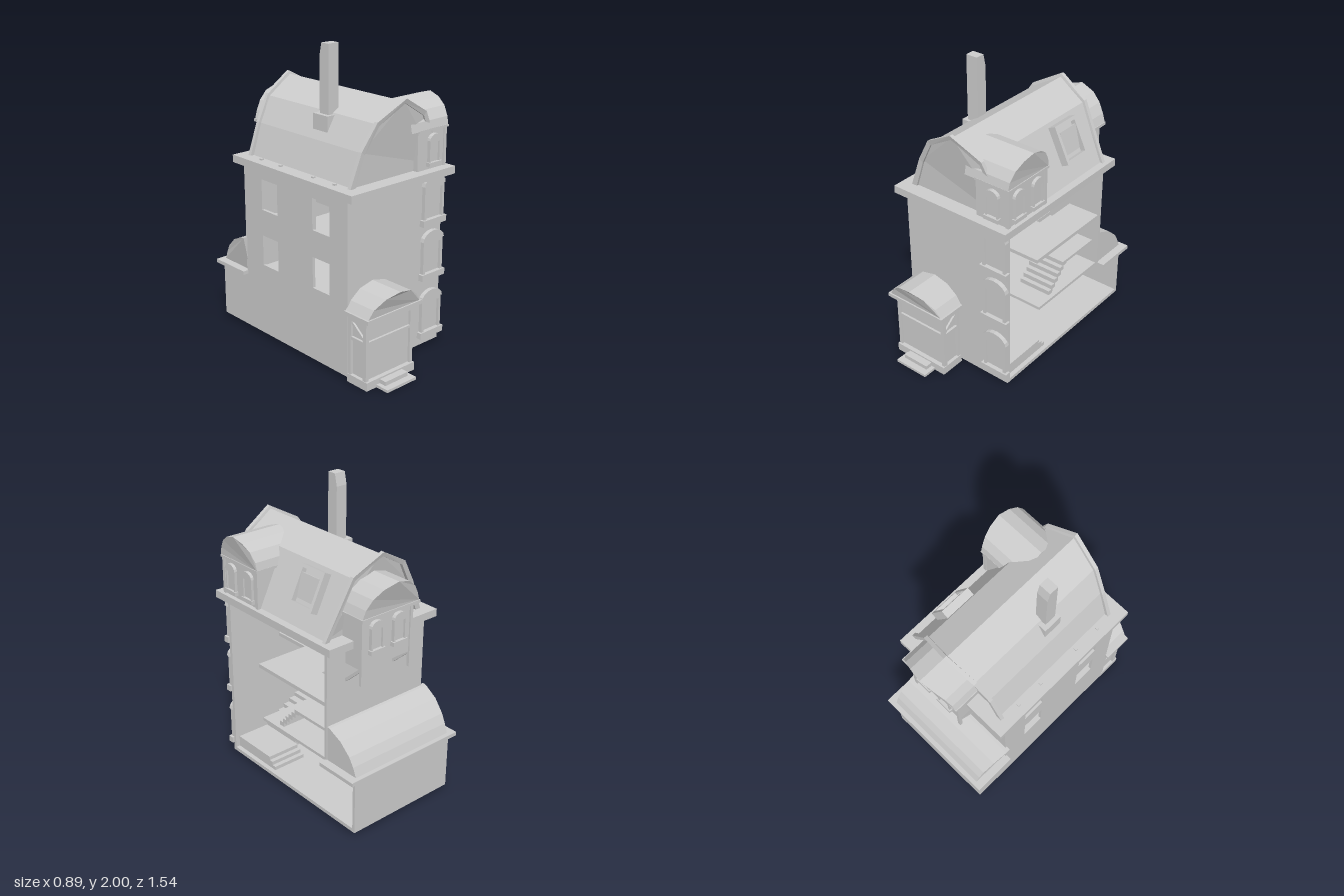
import * as THREE from 'three';

const mat = new THREE.MeshStandardMaterial({ color: 0xcccccc, flatShading: true });

function add(parent, name, geometry) {
  const mesh = new THREE.Mesh(geometry, mat);
  mesh.name = name;
  parent.add(mesh);
  return mesh;
}
function group(parent, name, x = 0, y = 0, z = 0, turn = 0) {
  const g = new THREE.Group();
  g.name = name;
  g.position.set(x, y, z);
  g.rotation.y = turn;
  parent.add(g);
  return g;
}
// Box given by its limits on each axis
function box(parent, name, x0, x1, y0, y1, z0, z1) {
  const g = new THREE.BoxGeometry(x1 - x0, y1 - y0, z1 - z0);
  g.translate((x0 + x1) / 2, (y0 + y1) / 2, (z0 + z1) / 2);
  return add(parent, name, g);
}
function beam(parent, name, a, b, t) {
  const from = new THREE.Vector3(...a), to = new THREE.Vector3(...b), dir = to.clone().sub(from);
  const m = add(parent, name, new THREE.BoxGeometry(t, dir.length(), t));
  m.position.copy(from).add(to).multiplyScalar(0.5);
  m.quaternion.setFromUnitVectors(new THREE.Vector3(0, 1, 0), dir.normalize());
  return m;
}
const toShape = pts => new THREE.Shape(pts.map(p => new THREE.Vector2(...p)));
const mirrored = half => [...half, ...half.filter(p => p[0] !== 0).reverse().map(([x, y]) => [-x, y])];

// Prism from z0 to z1 whose ends sweep outward towards the ridge
function vault(pts, z0, z1, flareFront = 0, flareBack = 0, power = 2) {
  const g = new THREE.ExtrudeGeometry(toShape(pts), { depth: z1 - z0, bevelEnabled: false });
  const ys = pts.map(p => p[1]), lo = Math.min(...ys), hi = Math.max(...ys);
  const p = g.attributes.position, mid = (z1 - z0) / 2;
  for (let i = 0; i < p.count; i++) {
    const t = ((p.getY(i) - lo) / (hi - lo)) ** power;
    p.setZ(i, z0 + p.getZ(i) + (p.getZ(i) > mid ? flareFront : -flareBack) * t);
  }
  g.computeVertexNormals();
  return g;
}

// Arched window facing +z, standing on y = 0
function archedWindow(parent, name, x, y, z, w, h, d, turn = 0) {
  const g = group(parent, name, x, y, z, turn), s = w / 2;
  box(g, 'sill', -s, s, 0, h * 0.13, 0, d);
  box(g, 'pane', -s * 0.7, s * 0.7, h * 0.13, h * 0.8, 0, d * 0.3);
  for (const k of [-1, 1]) {
    const c = k * s * 0.76;
    box(g, 'jamb', c - s * 0.09, c + s * 0.09, h * 0.13, h * 0.8, 0, d * 0.75);
  }
  box(g, 'head', -s * 0.85, s * 0.85, h * 0.74, h * 0.8, 0, d * 0.75);
  const arc = [];
  for (let i = 0; i <= 8; i++) {
    const a = i * Math.PI / 8;
    arc.push([s * 0.92 * Math.cos(a), h * (0.8 + 0.2 * Math.sin(a))]);
  }
  add(g, 'arch', vault(arc, 0, d * 0.85));
}

export function createModel() {
  const root = new THREE.Group();
  root.name = 'dollhouse';

  // Shell, open on the left side (+x)
  const shell = group(root, 'shell');
  box(shell, 'baseFloor', -0.41, 0.39, 0.03, 0.055, -0.74, 0.5);
  box(shell, 'frontWall', -0.41, 0.39, 0.03, 1.17, 0.48, 0.505);
  box(shell, 'backWall', -0.41, 0.39, 0.43, 1.17, -0.48, -0.46);
  box(shell, 'extensionBackWall', -0.41, 0.39, 0.03, 0.41, -0.74, -0.72);
  const side = toShape([[-0.74, 0.03], [0.5, 0.03], [0.5, 1.17], [-0.48, 1.17], [-0.48, 0.41], [-0.74, 0.41]]);
  for (const z of [-0.3, 0.19]) for (const y of [0.52, 0.9]) {
    side.holes.push(new THREE.Path([[z, y], [z, y + 0.205], [z + 0.155, y + 0.205], [z + 0.155, y]]
      .map(p => new THREE.Vector2(...p))));
  }
  const wall = add(shell, 'windowWall', new THREE.ExtrudeGeometry(side, { depth: 0.02, bevelEnabled: false }));
  wall.rotation.y = -Math.PI / 2;
  wall.position.x = -0.39;
  box(shell, 'cornice', -0.445, 0.43, 1.17, 1.22, -0.55, 0.575);

  // Interior floors, posts and stairs
  const inside = group(root, 'interior');
  box(inside, 'firstFloor', -0.39, 0.38, 0.41, 0.43, -0.48, 0.17);
  box(inside, 'secondFloorFront', -0.39, 0.38, 0.79, 0.815, -0.15, 0.2);
  box(inside, 'secondFloorCorner', -0.39, 0, 0.79, 0.815, 0.2, 0.48);
  box(inside, 'secondFloorBack', 0.15, 0.38, 0.79, 0.815, -0.46, -0.15);
  box(inside, 'wallRail', -0.39, -0.37, 1.1, 1.12, -0.46, 0.48);
  for (const z of [-0.33, -0.14, 0.17, 0.36]) box(inside, 'post', -0.39, -0.37, 0.815, 1.23, z - 0.009, z + 0.009);
  for (let i = 0; i < 3; i++) {
    box(inside, 'lowerStartStep', 0.12, 0.36, 0.055 + i * 0.025, 0.08 + i * 0.025, 0.08 + i * 0.03, 0.48);
  }
  for (let i = 0; i < 10; i++) {
    const y = 0.13 + i * 0.028, x = 0.12 - i * 0.05;
    box(inside, 'lowerStep', x - 0.06, x, y - 0.028, y + 0.028, 0.17, 0.48);
  }
  for (let i = 0; i < 6; i++) {
    const y = 0.43 + i * 0.03, z = 0.03 - i * 0.03;
    box(inside, 'upperStartStep', 0.12, 0.35, y, y + 0.03, z - 0.04, z);
  }
  box(inside, 'landing', 0.1, 0.35, 0.59, 0.61, -0.45, -0.15);
  for (let i = 0; i < 7; i++) {
    const y = 0.61 + i * 0.029, x = 0.12 - i * 0.06;
    box(inside, 'upperStep', x - 0.07, x, y - 0.02, y + 0.029, -0.45, -0.15);
  }

  // Curved back extension roof
  const ext = group(root, 'extensionRoof');
  box(ext, 'extensionLedge', -0.45, 0.44, 0.405, 0.43, -0.77, -0.47);
  const extRoof = add(ext, 'curvedRoof', vault(
    [[-0.47, 0.43], [-0.74, 0.43], [-0.715, 0.49], [-0.68, 0.545], [-0.6, 0.615], [-0.5, 0.66], [-0.47, 0.665]],
    -0.78, 0, 0.045));
  extRoof.rotation.y = -Math.PI / 2;
  extRoof.position.x = -0.395;

  // Main roof with raised rims on both gables
  const roof = group(root, 'mainRoof');
  const outline = [[-0.35, 1.22], [-0.28, 1.42], [-0.185, 1.58], [0.01, 1.69], [0.205, 1.58], [0.38, 1.22]];
  const rimOuter = [[-0.375, 1.22], [-0.295, 1.43], [-0.195, 1.595], [0.01, 1.71], [0.215, 1.595], [0.4, 1.22]];
  add(roof, 'roofBody', vault(outline, -0.45, 0.475, 0.06, 0.06, 2.5));
  const rim = [...rimOuter, ...outline.map(([x, y]) => [0.01 + (x - 0.01) * 0.96, y === 1.22 ? y : y - 0.01]).reverse()];
  add(roof, 'frontRim', vault(rim, 0.465, 0.49, 0.065, -0.065, 2.5));
  add(roof, 'backRim', vault(rim, -0.475, -0.45, -0.065, 0.065, 2.5));

  // Skylight lying on the steep slope
  const sky = group(root, 'skylight', 0.28, 1.445, -0.212);
  sky.rotation.z = 0.447;
  box(sky, 'pane', -0.02, 0.01, -0.11, 0.11, -0.09, 0.09);
  for (const k of [-1, 1]) {
    box(sky, 'frameSide', -0.03, 0.045, -0.125, 0.125, k * 0.095 - 0.011, k * 0.095 + 0.011);
    box(sky, 'frameEnd', -0.03, 0.045, k * 0.115 - 0.011, k * 0.115 + 0.011, -0.106, 0.106);
  }
  const sash = box(sky, 'openSash', -0.005, 0.005, -0.08, 0.08, -0.08, 0.08);
  sash.position.x = 0.025;
  sash.rotation.z = -0.2;

  // Chimney with a chamfered top
  const chimney = group(root, 'chimney');
  box(chimney, 'chimneyBase', -0.25, -0.18, 1.4, 1.57, 0.02, 0.15);
  const stack = add(chimney, 'stack', vault([[0.05, 1.5], [0.13, 1.5], [0.13, 2], [0.068, 2], [0.05, 1.92]], 0, 0.08));
  stack.rotation.y = -Math.PI / 2;
  stack.position.x = -0.142;

  // Corner dormer facing the open side
  const dormer = group(root, 'sideDormer', 0.4, 0, 0.335, Math.PI / 2);
  box(dormer, 'dormerBody', -0.175, 0.175, 1.22, 1.47, -0.24, 0);
  box(dormer, 'dormerLedge', -0.19, 0.19, 1.465, 1.48, -0.24, 0.015);
  for (const k of [-1, 1]) {
    box(dormer, 'cornerBoard', k * 0.17 - 0.012, k * 0.17 + 0.012, 1.22, 1.47, -0.015, 0.008);
    archedWindow(dormer, 'dormerWindow', k * 0.087, 1.24, 0, 0.11, 0.205, 0.025);
  }
  archedWindow(root, 'dormerFrontWindow', 0.292, 1.24, 0.51, 0.11, 0.205, 0.03);
  const dormerArc = mirrored([[0.19, 1.475], [0.178, 1.53], [0.14, 1.59], [0.08, 1.632], [0, 1.655]]);
  add(dormer, 'dormerRoof', vault(dormerArc, -0.31, 0.01, 0.035));

  // Overhanging back dormer on brackets
  const back = group(root, 'backDormer', 0.045, 0, -0.48, Math.PI);
  box(back, 'dormerBody', -0.2, 0.2, 1.05, 1.38, -0.03, 0.135);
  box(back, 'dormerLedge', -0.23, 0.23, 1.375, 1.395, 0, 0.175);
  const backArc = mirrored([[0.225, 1.395], [0.205, 1.45], [0.165, 1.51], [0.1, 1.56], [0, 1.59]]);
  add(back, 'dormerRoof', vault(backArc, -0.1, 0.17, 0.055));
  for (const k of [-1, 1]) {
    box(back, 'hangingPost', k * 0.195 - 0.01, k * 0.195 + 0.01, 0.95, 1.38, 0.125, 0.145);
    beam(back, 'bracket', [k * 0.195, 0.935, 0], [k * 0.195, 1.05, 0.13], 0.018);
    archedWindow(back, 'dormerWindow', k * 0.09, 1.14, 0.135, 0.115, 0.21, 0.03);
  }

  // Stack of front windows
  for (const y of [0.085, 0.49, 0.855]) archedWindow(root, 'frontWindow', 0.302, y, 0.5, 0.205, 0.325, 0.04);

  // Porch with steps
  const porch = group(root, 'porch', -0.205, 0, 0.5);
  box(porch, 'porchBase', -0.203, 0.203, 0, 0.055, 0, 0.175);
  box(porch, 'upperStep', -0.095, 0.095, 0, 0.045, 0.17, 0.225);
  box(porch, 'lowerStep', -0.123, 0.123, 0, 0.018, 0.17, 0.27);
  box(porch, 'porchBody', -0.18, 0.18, 0.055, 0.46, 0, 0.145);
  for (const k of [-1, 1]) {
    for (const z of [0.015, 0.148]) {
      box(porch, 'post', k * 0.187 - 0.012, k * 0.187 + 0.012, 0.055, 0.46, z - 0.013, z + 0.013);
    }
    box(porch, 'sideRail', k * 0.187 - 0.01, k * 0.187 + 0.01, 0.29, 0.31, 0, 0.15);
    beam(porch, 'brace', [k * 0.185, 0.31, 0.145], [k * 0.185, 0.41, 0.02], 0.016);
  }
  box(porch, 'frontRail', -0.19, 0.19, 0.295, 0.312, 0.13, 0.16);
  box(porch, 'upperRail', -0.2, 0.2, 0.415, 0.455, 0, 0.165);
  box(porch, 'porchCornice', -0.228, 0.228, 0.455, 0.48, 0, 0.205);
  const porchArc = mirrored([[0.215, 0.48], [0.178, 0.535], [0.105, 0.59], [0, 0.615]]);
  add(porch, 'porchRoof', vault(porchArc, 0, 0.195, 0.05));

  return root;
}
